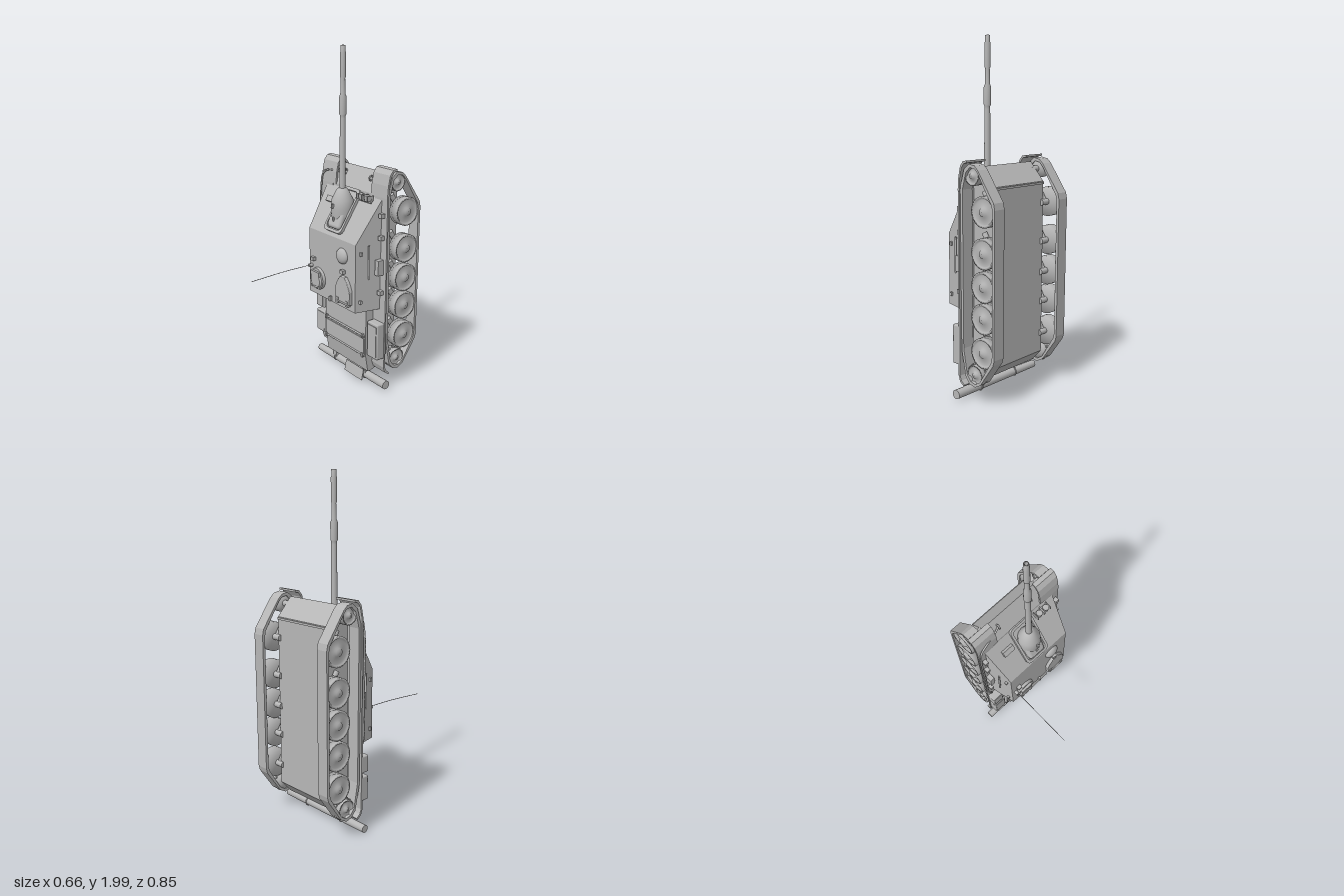
import * as THREE from 'three';
import { ConvexGeometry } from 'three/addons/geometries/ConvexGeometry.js';
import { RoundedBoxGeometry } from 'three/addons/geometries/RoundedBoxGeometry.js';

const paint = new THREE.MeshStandardMaterial({ color: 0xb6b6b6, side: THREE.DoubleSide });
paint.name = 'plain grey';

export function createModel() {
  const root = new THREE.Group();
  root.name = 'selfPropelledGun';

  const add = (name, geo, x = 0, y = 0, z = 0, parent = root) => {
    const m = new THREE.Mesh(geo, paint);
    m.name = name;
    m.position.set(x, y, z);
    parent.add(m);
    return m;
  };
  const box = (name, w, h, d, x, y, z, parent) => add(name, new THREE.BoxGeometry(w, h, d), x, y, z, parent);
  // Cylinder lying along an axis
  const rod = (name, r, len, axis, x, y, z, parent, r2 = r) => {
    const g = new THREE.CylinderGeometry(r2, r, len, 20);
    if (axis === 'x') g.rotateZ(-Math.PI / 2);
    if (axis === 'z') g.rotateX(Math.PI / 2);
    return add(name, g, x, y, z, parent);
  };
  const lathe = (pts, n = 28) => new THREE.LatheGeometry(pts.map(p => new THREE.Vector2(...p)), n);
  const tube = (name, pts, r, parent) => add(name, new THREE.TubeGeometry(
    new THREE.CatmullRomCurve3(pts.map(p => new THREE.Vector3(...p))), 40, r, 6), 0, 0, 0, parent);
  // Extrude a [z, y] outline across x, centred on x
  const slab = (outline, width, hole) => {
    const s = new THREE.Shape(outline.map(p => new THREE.Vector2(...p)));
    if (hole) s.holes.push(new THREE.Path(hole.map(p => new THREE.Vector2(...p))));
    return new THREE.ExtrudeGeometry(s, { depth: width, bevelEnabled: false })
      .translate(0, 0, -width / 2).rotateY(-Math.PI / 2);
  };

  // Hull with sloped nose and tail
  add('hull', slab([[-0.165, 1.185], [-0.235, 1.305], [-0.328, 1.2], [-0.33, 0.2], [-0.27, 0.13],
    [-0.15, 0.09], [-0.13, 0.09], [-0.11, 0.2], [-0.108, 0.52], [-0.165, 0.52]], 0.4));
  box('bellySeam', 0.4, 0.012, 0.006, 0, 1.19, -0.331);
  box('engineDeckPanel', 0.38, 0.1, 0.008, 0, 0.257, -0.107);
  for (const y of [0.2, 0.325]) {
    rod('deckHinge', 0.006, 0.39, 'x', 0, y, -0.105);
    for (const x of [-0.18, 0.18]) box('deckHingeLug', 0.012, 0.025, 0.02, x, y, -0.104);
  }

  // Casemate
  const pts = [];
  for (const s of [-1, 1]) for (const p of [[0.262, 0.51, -0.175], [0.262, 1.185, -0.175],
    [0.226, 0.51, -0.005], [0.226, 0.92, -0.005]]) pts.push(new THREE.Vector3(s * p[0], p[1], p[2]));
  add('casemate', new ConvexGeometry(pts));

  // Fittings on the sloped front plate
  const front = new THREE.Group();
  front.name = 'frontPlateFittings';
  front.position.set(0, 1.0525, -0.0875);
  front.rotation.x = -Math.atan2(0.17, 0.265);
  root.add(front);
  const rounded = (w, h, r, C) => {
    const s = new C(), x = w / 2, y = h / 2;
    s.absarc(x - r, y - r, r, 0, Math.PI / 2);
    s.absarc(-x + r, y - r, r, Math.PI / 2, Math.PI);
    s.absarc(-x + r, -y + r, r, Math.PI, Math.PI * 1.5);
    s.absarc(x - r, -y + r, r, Math.PI * 1.5, Math.PI * 2);
    s.closePath();
    return s;
  };
  const frame = rounded(0.165, 0.285, 0.03, THREE.Shape);
  frame.holes.push(rounded(0.135, 0.25, 0.025, THREE.Path));
  add('mantletFrame', new THREE.ExtrudeGeometry(frame, { depth: 0.018, bevelEnabled: false, curveSegments: 6 }), 0, 0.01, 0, front);
  box('driverSight', 0.075, 0.035, 0.022, -0.14, 0.05, 0.008, front);
  box('lampBracket', 0.1, 0.03, 0.012, 0.15, 0.11, 0.01, front);
  for (const x of [0.123, 0.173]) {
    rod('headlamp', 0.013, 0.035, 'y', x, 1.165, -0.125, root, 0.019);
    for (const d of [-0.023, 0.023]) box('lampGuard', 0.004, 0.03, 0.045, x + d, 1.165, -0.13);
  }

  // Gun: mantlet, barrel, fume extractor and muzzle
  const gz = -0.083;
  add('mantlet', lathe([[0.017, 1.2], [0.03, 1.195], [0.045, 1.17], [0.064, 1.13], [0.068, 1.08], [0.06, 1.0], [0.05, 0.95], [0, 0.945]].reverse()), 0, 0, gz);
  const shield = add('mantletCover', new RoundedBoxGeometry(0.115, 0.15, 0.06, 3, 0.02), 0, 1.03, -0.06);
  shield.rotation.x = -0.4;
  add('barrel', lathe([[0.019, 1.15], [0.016, 1.6], [0.016, 1.615], [0.021, 1.625], [0.021, 1.72], [0.015, 1.735],
    [0.0125, 1.82], [0.017, 1.83], [0.017, 1.96], [0.014, 1.965], [0.014, 2.0], [0.008, 2.0], [0.008, 1.9]], 20), 0, 0, gz);
  for (const [y, z] of [[1.1, -0.01], [1.02, -0.02]]) box('mantletLug', 0.01, 0.025, 0.014, 0, y, z);

  // Roof: dome, commander's cupola, loader's hatch, vents
  const dome = add('roofDome', new THREE.SphereGeometry(0.048, 24, 10, 0, Math.PI * 2, 0, Math.PI / 2), 0.105, 0.826, -0.006);
  dome.rotation.x = Math.PI / 2;
  dome.scale.y = 0.6;
  rod('cupolaRing', 0.07, 0.022, 'z', -0.13, 0.62, 0.002, root, 0.066);
  rod('cupolaHatch', 0.055, 0.012, 'z', -0.13, 0.61, 0.017, root, 0.045);
  box('cupolaSight', 0.08, 0.028, 0.026, -0.13, 0.655, 0.015);
  for (const x of [-0.165, -0.13, -0.095]) box('cupolaPeriscope', 0.02, 0.014, 0.012, x, 0.57, 0.018);
  const hatch = new THREE.Shape();
  hatch.moveTo(-0.062, -0.065);
  hatch.lineTo(0.062, -0.065);
  hatch.lineTo(0.064, 0.01);
  hatch.quadraticCurveTo(0.05, 0.055, 0.018, 0.085);
  hatch.lineTo(-0.018, 0.085);
  hatch.quadraticCurveTo(-0.05, 0.055, -0.064, 0.01);
  add('loaderHatch', new THREE.ExtrudeGeometry(hatch, { depth: 0.018, bevelEnabled: true, bevelSize: 0.004, bevelThickness: 0.004 }), 0.13, 0.62, -0.006);
  for (const x of [0.085, 0.175]) box('hatchHinge', 0.02, 0.035, 0.024, x, 0.555, 0.008);
  rod('hatchBar', 0.005, 0.11, 'x', 0.13, 0.553, 0.02);
  for (const x of [-0.175, 0.12]) box('roofPeriscope', 0.028, 0.022, 0.026, x, 0.735, 0.004);
  box('roofHook', 0.012, 0.03, 0.02, 0, 0.53, 0.002);
  rod('antennaBase', 0.011, 0.03, 'z', -0.2, 0.685, 0.004);
  tube('antenna', [[-0.198, 0.688, 0], [-0.198, 0.685, 0.2], [-0.198, 0.672, 0.425]], 0.0018);

  // Parts repeated on both sides
  const track = [[-0.172, 1.2], [-0.2, 1.295], [-0.235, 1.325], [-0.275, 1.318], [-0.3, 1.295], [-0.412, 1.135], [-0.42, 1.1],
    [-0.42, 0.3], [-0.412, 0.27], [-0.32, 0.135], [-0.28, 0.112], [-0.24, 0.12], [-0.21, 0.155], [-0.18, 0.3]];
  const inner = track.map(([z, y]) => [-0.296 + (z + 0.296) * 0.87, 0.715 + (y - 0.715) * 0.97]);
  const wheelProfile = r => [[0, -0.028], [r, -0.028], [r, 0.03], [r * 0.86, 0.03], [r * 0.78, 0.018],
    [r * 0.32, 0.026], [r * 0.26, 0.036], [0, 0.038]];
  for (const s of [-1, 1]) {
    const side = new THREE.Group();
    side.name = s > 0 ? 'leftSide' : 'rightSide';
    root.add(side);
    add('track', slab(track, 0.074, inner), s * 0.264, 0, 0, side);
    const wheel = (name, r, y, z) => {
      add(name, lathe(wheelProfile(r), 32), s * 0.262, y, z, side).rotation.z = -s * Math.PI / 2;
      rod('axle', 0.018, 0.07, 'x', s * 0.215, y, z, side);
    };
    for (const y of [1.08, 0.858, 0.678, 0.504, 0.314]) {
      wheel('roadWheel', 0.084, y, -0.328);
      const arm = rod('swingArm', 0.015, 0.12, 'y', s * 0.216, y + 0.045, -0.3, side);
      arm.rotation.x = 0.55;
    }
    wheel('idlerWheel', 0.052, 1.262, -0.25);
    wheel('driveSprocket', 0.056, 0.177, -0.272);
    for (let i = 0; i < 12; i++) {
      const a = i * Math.PI / 6;
      box('sprocketTooth', 0.012, 0.014, 0.014, s * 0.262, 0.177 + 0.058 * Math.cos(a), -0.272 + 0.058 * Math.sin(a), side).rotation.x = a;
    }

    // Fender with curved front and rear mudguards
    add('fender', slab([[-0.162, 0.2], [-0.162, 1.2], [-0.172, 1.2], [-0.172, 0.2]], 0.11), s * 0.253, 0, 0, side);
    add('frontMudguard', slab([[-0.16, 1.18], [-0.165, 1.25], [-0.178, 1.31], [-0.2, 1.338], [-0.228, 1.342],
      [-0.228, 1.33], [-0.204, 1.325], [-0.187, 1.3], [-0.176, 1.25], [-0.172, 1.18]], 0.142), s * 0.237, 0, 0, side);
    add('rearMudguard', slab([[-0.16, 0.21], [-0.16, 0.15], [-0.172, 0.115], [-0.2, 0.095],
      [-0.205, 0.105], [-0.182, 0.125], [-0.172, 0.15], [-0.172, 0.21]], 0.108), s * 0.253, 0, 0, side);

    // Casemate side rail, hooks and stowage
    const rail = rod('handRail', 0.006, 0.2, 'y', s * 0.252, 0.81, -0.083, side);
    rail.rotation.z = s * 0.02;
    for (const y of [0.575, 0.865]) box('sideHook', 0.02, 0.02, 0.014, s * 0.236, y, -0.035, side);
    box('sideBracket', 0.03, 0.09, 0.04, s * 0.274, 0.775, -0.14, side);
    for (const y of [0.62, 0.95, 1.08]) box('fenderClip', 0.025, 0.025, 0.03, s * 0.278, y, -0.15, side);

    // Bow tow hook and log bracket
    const hook = add('towHook', new THREE.TorusGeometry(0.014, 0.005, 6, 14), s * 0.12, 1.262, -0.198, side);
    hook.rotation.y = Math.PI / 2;
    box('logBracket', 0.03, 0.07, 0.02, s * 0.145, 0.075, -0.15, side);
  }

  // Fender stowage boxes
  const bin = (w, h, x, y) => {
    add('stowageBox', new RoundedBoxGeometry(w, h, 0.055, 2, 0.008), x, y, -0.138);
    box('stowageLid', w * 0.8, h * 0.85, 0.006, x, y, -0.11);
  };
  bin(0.094, 0.225, 0.257, 0.32);
  bin(0.09, 0.145, -0.258, 0.265);
  bin(0.08, 0.1, -0.265, 0.41);

  // Tow cable along the right fender
  tube('towCable', [[-0.28, 0.5, -0.15], [-0.3, 0.56, -0.15], [-0.302, 0.85, -0.15], [-0.302, 1.16, -0.15],
    [-0.285, 1.235, -0.155], [-0.23, 1.26, -0.165], [-0.17, 1.255, -0.18], [-0.12, 1.265, -0.198]], 0.006);

  // Unditching log and rear plate
  const log = rod('unditchingLog', 0.022, 0.66, 'x', 0, 0.039, -0.163, root, 0.026);
  log.rotation.z = 0.015;
  for (const x of [-0.145, 0.145]) {
    add('logStrap', new THREE.TorusGeometry(0.026, 0.004, 6, 20), x, 0.04, -0.163).rotation.y = Math.PI / 2;
  }
  const plate = box('rearPlate', 0.17, 0.07, 0.005, 0.09, 0.06, -0.112);
  plate.rotation.x = -0.2;
  return root;
}
